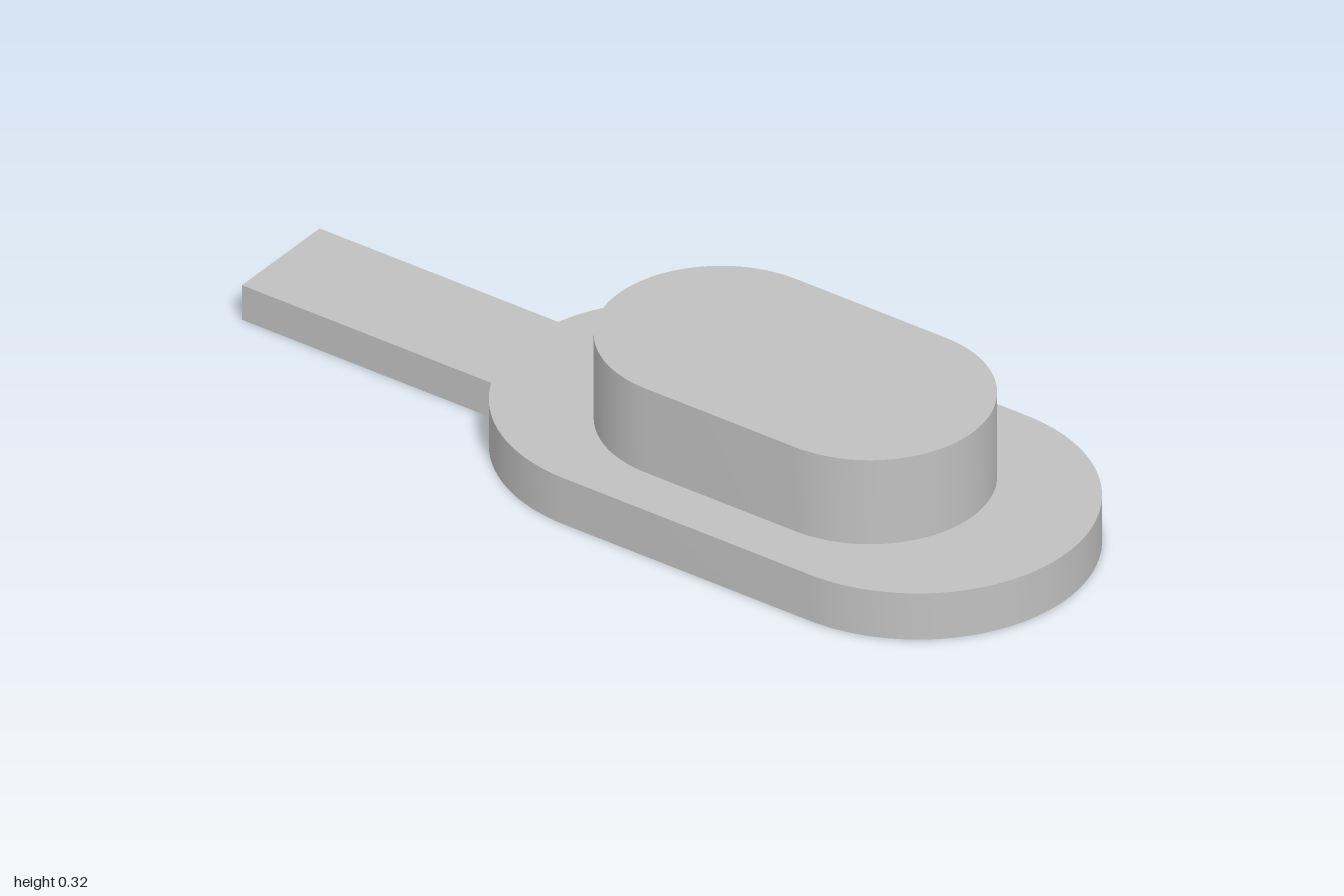
import * as THREE from 'three';
import { toCreasedNormals } from 'three/addons/utils/BufferGeometryUtils.js';

const CENTRE_Z = 0.31;
const BASE = { radius: 0.378, half: 0.312, height: 0.112 };
const BLOCK = { radius: 0.261, half: 0.19, height: 0.204 };
const TAB = { halfWidth: 0.135, height: 0.084 };

// Plan outline with straight sides and round ends (shape y is -z)
function roundEndedShape({ radius, half }) {
  const shape = new THREE.Shape();
  shape.absarc(0, -CENTRE_Z + half, radius, 0, Math.PI);
  shape.absarc(0, -CENTRE_Z - half, radius, Math.PI, Math.PI * 2);
  shape.closePath();
  return shape;
}

// Extrude a plan outline upwards, smooth round the curves, sharp at the rims
function slab(name, shape, height, y, material) {
  const geometry = new THREE.ExtrudeGeometry(shape, {
    depth: height, bevelEnabled: false, curveSegments: 32,
  });
  geometry.rotateX(-Math.PI / 2);
  const mesh = new THREE.Mesh(toCreasedNormals(geometry, Math.PI / 6), material);
  mesh.name = name;
  mesh.position.y = y;
  return mesh;
}

export function createModel() {
  const grey = new THREE.MeshStandardMaterial({ color: 0xc0c0c0 });
  grey.name = 'grey';

  // Flat tab whose inner end follows the round end of the base
  const w = TAB.halfWidth;
  const angle = Math.acos(w / BASE.radius);
  const tabShape = new THREE.Shape();
  tabShape.moveTo(w, 1);
  tabShape.lineTo(-w, 1);
  tabShape.absarc(0, -CENTRE_Z + BASE.half, BASE.radius, Math.PI - angle, angle, true);
  tabShape.closePath();

  const model = new THREE.Group();
  model.name = 'model';
  model.add(
    slab('base', roundEndedShape(BASE), BASE.height, 0, grey),
    slab('raisedBlock', roundEndedShape(BLOCK), BLOCK.height, BASE.height, grey),
    slab('rearTab', tabShape, TAB.height, 0, grey),
  );
  return model;
}
